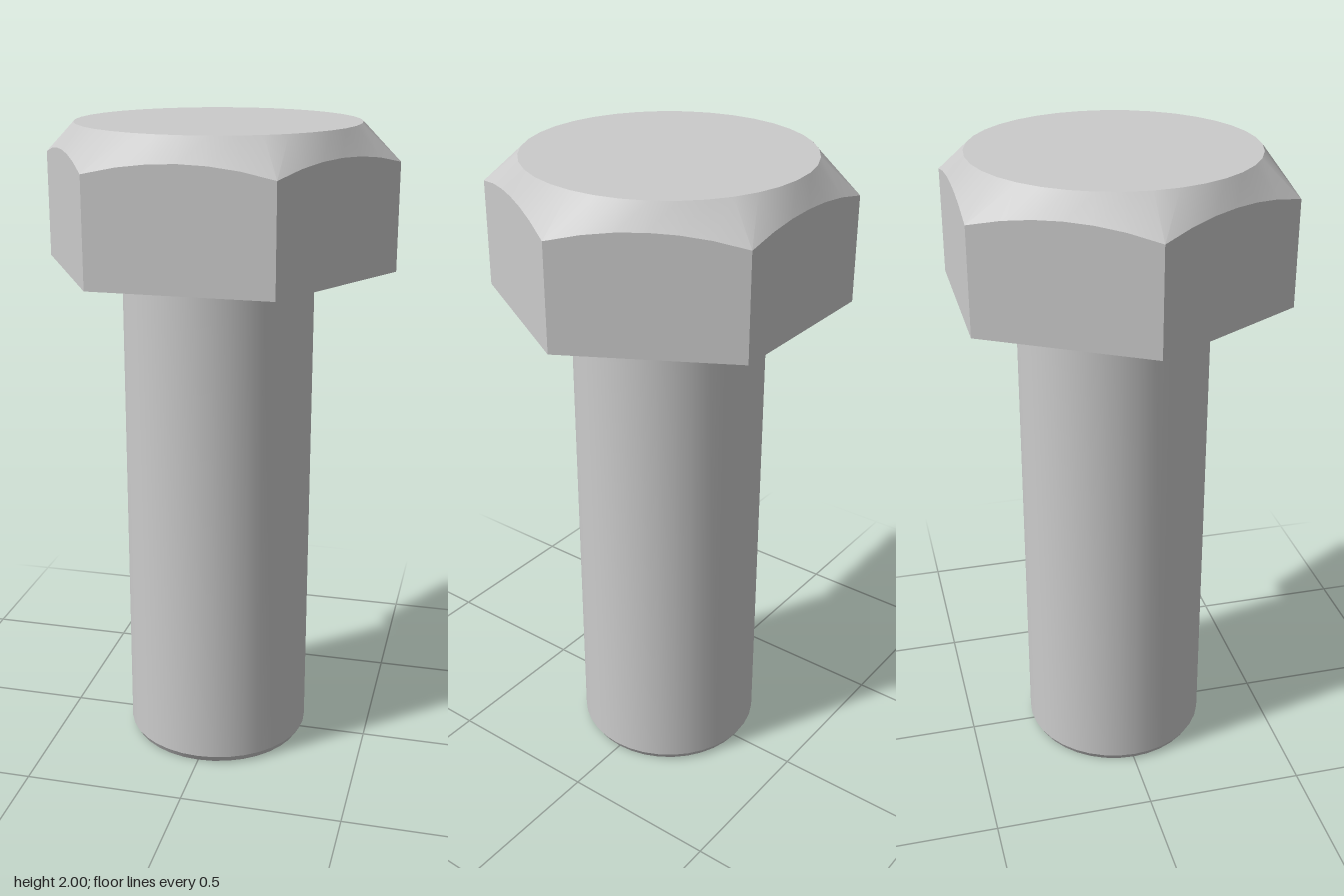
import * as THREE from 'three';
import { toCreasedNormals } from 'three/addons/utils/BufferGeometryUtils.js';

const SEGMENTS = 36;
const CORNER = 0.54;                          // hexagon corner radius
const APOTHEM = CORNER * Math.cos(Math.PI / 6);
const HEAD_BASE = 1.575;
const CREASE = 0.4;

// Rings of the head at one angle: underside centre, hexagon, arched edge, top circle, top centre
function headSection(i) {
  const angle = (i % SEGMENTS) / SEGMENTS * Math.PI * 2;
  const offset = angle % (Math.PI / 3) - Math.PI / 6;   // angle from the middle of the flat
  const r = APOTHEM / Math.cos(offset);
  const across = Math.tan(offset) / Math.tan(Math.PI / 6);
  const edgeY = 1.93 - 0.035 * across * across;
  return [[0, HEAD_BASE], [r, HEAD_BASE], [r, edgeY], [0.425, 2], [0, 2]]
    .map(([radius, y]) => [radius * Math.cos(angle), y, -radius * Math.sin(angle)]);
}

function headGeometry() {
  const positions = [];
  for (let i = 0; i < SEGMENTS; i++) {
    const a = headSection(i), b = headSection(i + 1);
    for (let k = 0; k < 4; k++) {
      if (k > 0) positions.push(...a[k], ...b[k], ...b[k + 1]);
      if (k < 3) positions.push(...a[k], ...b[k + 1], ...a[k + 1]);
    }
  }
  const geometry = new THREE.BufferGeometry();
  geometry.setAttribute('position', new THREE.Float32BufferAttribute(positions, 3));
  return toCreasedNormals(geometry, CREASE);
}

// Hollow shank with a small chamfer at the tip, closed by the head's underside
function shankGeometry() {
  const profile = [[0.243, HEAD_BASE], [0.243, 0], [0.28, 0], [0.293, 0.022], [0.293, HEAD_BASE]]
    .map(([r, y]) => new THREE.Vector2(r, y));
  return toCreasedNormals(new THREE.LatheGeometry(profile, SEGMENTS), CREASE);
}

export function createModel() {
  const group = new THREE.Group();
  group.name = 'hexBolt';
  const material = new THREE.MeshStandardMaterial({ color: 0xcccccc });
  const parts = { hexHead: headGeometry(), hollowShank: shankGeometry() };
  for (const [name, geometry] of Object.entries(parts)) {
    const mesh = new THREE.Mesh(geometry, material);
    mesh.name = name;
    group.add(mesh);
  }
  return group;
}
